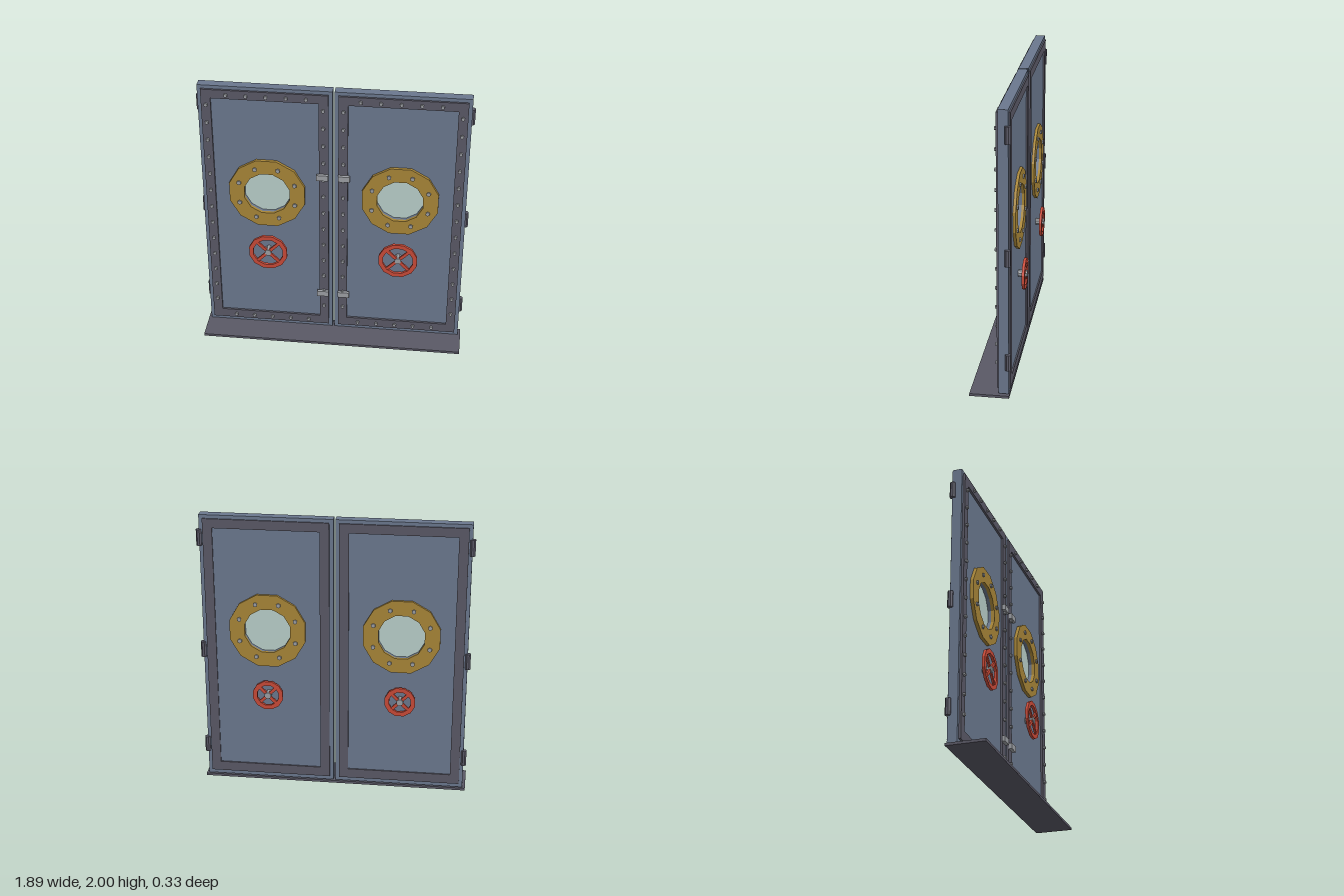
import * as THREE from 'three';
import { mergeGeometries } from 'three/addons/utils/BufferGeometryUtils.js';

const mat = (name, color) => {
  const m = new THREE.MeshStandardMaterial({ color });
  m.name = name;
  return m;
};

// Regular polygon outline; half a step of turn puts flats on top and sides
function polygon(r, n, x = 0, y = 0, Type = THREE.Shape) {
  const pts = [];
  for (let i = 0; i < n; i++) {
    const a = ((i + 0.5) / n) * Math.PI * 2;
    pts.push(new THREE.Vector2(x + r * Math.cos(a), y + r * Math.sin(a)));
  }
  return new Type(pts);
}

function rect(x0, y0, x1, y1, Type = THREE.Shape) {
  return new Type([[x0, y0], [x1, y0], [x1, y1], [x0, y1]].map(p => new THREE.Vector2(...p)));
}

// Flat-sided solid from z0 to z1
function slab(shape, z0, z1, ...holes) {
  shape.holes.push(...holes);
  return new THREE.ExtrudeGeometry(shape, { depth: z1 - z0, bevelEnabled: false }).translate(0, 0, z0);
}

export function createModel() {
  const model = new THREE.Group();
  model.name = 'doubleDoor';
  const steelBlue = mat('blue painted steel', 0x6b788e);
  const darkSteel = mat('dark steel', 0x5a5966);
  const brass = mat('brass', 0xa88638);
  const red = mat('red paint', 0xc94a38);
  const glass = mat('glass', 0xb9cfca);
  const steel = mat('bare steel', 0x9da0a5);

  const add = (parent, name, geometry, material) => {
    const mesh = new THREE.Mesh(geometry, material);
    mesh.name = name;
    parent.add(mesh);
    return mesh;
  };

  const PX = 0.467, PY = 1.177; // porthole centre
  const WY = 0.70;              // handwheel height

  // Rim with two crossed spokes
  function handwheel(parent, name, r, z0, z1) {
    const parts = [slab(polygon(r, 12), z0, z1, polygon(r - 0.032, 12, 0, 0, THREE.Path))];
    for (const a of [1, -1]) {
      const zi = 0.003;
      parts.push(slab(rect(-r + 0.02, -0.011, r - 0.02, 0.011), z0 + zi, z1 - zi).rotateZ(a * Math.PI / 4));
    }
    add(parent, name, mergeGeometries(parts), red);
  }

  function door(s) {
    const g = new THREE.Group();
    g.name = s > 0 ? 'leftDoor' : 'rightDoor';
    model.add(g);
    const cx = s * PX;
    const box = (a, b, y0, y1, Type) => rect(Math.min(s * a, s * b), y0, Math.max(s * a, s * b), y1, Type);

    // Door leaf with an opening for the porthole
    add(g, 'leaf', slab(box(0.007, 0.925, 0.025, 2), -0.1, -0.033,
      polygon(0.166, 12, cx, PY, THREE.Path)), steelBlue);

    // Raised borders on both faces
    for (const [name, z0, z1] of [['frontBorder', -0.033, -0.018], ['backBorder', -0.11, -0.1]]) {
      add(g, name, slab(box(0.034, 0.9, 0.054, 1.975), z0, z1,
        box(0.1, 0.834, 0.124, 1.91, THREE.Path)), darkSteel);
    }

    // Bolts around the front border
    const bolts = [];
    const bolt = (x, y) => bolts.push(slab(polygon(0.013, 6, x, y), -0.018, -0.004));
    for (let i = 0; i < 13; i++) {
      for (const x of [0.069, 0.866]) bolt(s * x, 0.225 + i * 0.1363);
    }
    for (let i = 0; i < 5; i++) {
      for (const y of [0.087, 1.94]) bolt(s * (0.183 + i * 0.1363), y);
    }
    add(g, 'borderBolts', mergeGeometries(bolts), steel);

    // Porthole: brass rings, pane and eight bolts per face
    const porthole = new THREE.Group();
    porthole.name = 'porthole';
    porthole.position.set(cx, PY, 0);
    g.add(porthole);
    const ringBolts = [];
    for (const [name, z0, z1, b0, b1] of [
      ['frontRing', -0.033, -0.01, -0.01, 0],
      ['backRing', -0.119, -0.1, -0.129, -0.119]]) {
      add(porthole, name, slab(polygon(0.275, 12), z0, z1,
        polygon(0.165, 12, 0, 0, THREE.Path)), brass);
      for (let i = 0; i < 8; i++) {
        const a = (i + 0.5) * Math.PI / 4;
        ringBolts.push(slab(polygon(0.016, 6, 0.212 * Math.cos(a), 0.212 * Math.sin(a)), b0, b1));
      }
    }
    add(porthole, 'ringBolts', mergeGeometries(ringBolts), steel);
    add(porthole, 'pane', slab(polygon(0.166, 12), -0.075, -0.057), glass);

    // Handwheels on a common spindle
    const wheels = new THREE.Group();
    wheels.name = 'handwheels';
    wheels.position.set(cx, WY, 0);
    g.add(wheels);
    handwheel(wheels, 'frontWheel', 0.141, 0.008, 0.028);
    handwheel(wheels, 'backWheel', 0.11, -0.155, -0.136);
    add(wheels, 'spindle', slab(polygon(0.024, 8), -0.163, 0.031), steel);

    // Latch plates beside the middle gap
    for (const y of [0.345, 1.342]) {
      add(g, 'latch', slab(box(0.034, 0.116, y - 0.021, y + 0.021), -0.018, 0.006), steel);
    }

    // Hinge barrels on the outer edge
    for (const y of [0.263, 1.013, 1.839]) {
      const barrel = slab(polygon(0.02, 8), -0.057, 0.057).rotateX(Math.PI / 2);
      add(g, 'hinge', barrel, darkSteel).position.set(s * 0.927, y, -0.096);
    }
  }

  door(1);
  door(-1);

  // Threshold plate
  add(model, 'threshold', new THREE.BoxGeometry(1.89, 0.018, 0.268).translate(0, 0.009, 0.029), darkSteel);
  return model;
}
